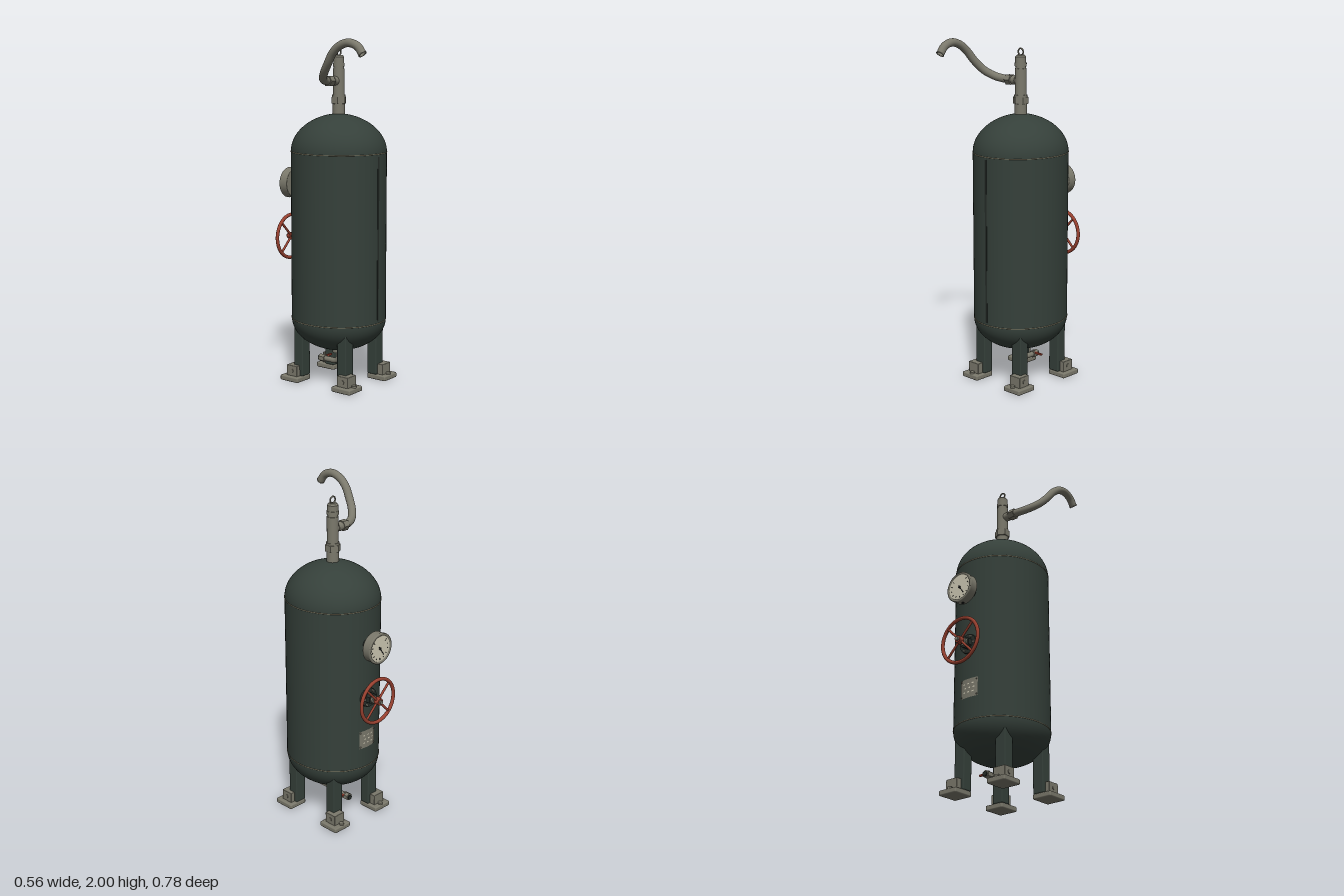
import * as THREE from 'three';
import { RoundedBoxGeometry } from 'three/addons/geometries/RoundedBoxGeometry.js';

const mat = (name, color, side = THREE.FrontSide) => {
  const m = new THREE.MeshStandardMaterial({ color, side });
  m.name = name;
  return m;
};

export function createModel() {
  const green = mat('dark green paint', 0x35403a);
  const dark = mat('dark fitting', 0x272d29);
  const metal = mat('grey metal', 0x7b796c, THREE.DoubleSide);
  const red = mat('red paint', 0x98402f);
  const cream = mat('dial cream', 0xcfcab5);
  const black = mat('black', 0x1a1a1a);
  const weld = mat('weld tan', 0x857c64);

  const CX = 0.0125, CZ = -0.002;          // tank axis
  const RX = 0.267, RZ = 0.283;            // tank is slightly oval
  const root = new THREE.Group();
  root.name = 'pressureTank';
  const model = new THREE.Group();
  model.name = 'tankAssembly';
  model.position.set(CX, 0, CZ);
  root.add(model);

  const add = (name, geo, material, x = 0, y = 0, z = 0, parent = model) => {
    const m = new THREE.Mesh(geo, material);
    m.name = name;
    m.position.set(x, y, z);
    parent.add(m);
    return m;
  };
  const cyl = (r, h, n = 32, r2 = r) => new THREE.CylinderGeometry(r2, r, h, n);
  const hex = (r, h) => {
    const g = cyl(r, h, 6).toNonIndexed();
    g.computeVertexNormals();
    return g;
  };
  const turned = pts => new THREE.LatheGeometry(pts.map(p => new THREE.Vector2(p[0], p[1])), 40);
  // sharp stepped turning: stack of [radius, y0, y1]
  const stack = (name, steps, material, parent) =>
    steps.forEach(([r, a, b], i) => add(name + (i + 1), cyl(r, b - a), material, 0, (a + b) / 2, 0, parent));

  // Tank shell with domed ends
  const Y0 = 0.187, Y1 = 0.377, Y2 = 1.356, Y3 = 1.574;
  const profile = [];
  for (let i = 0; i <= 20; i++) {
    const a = i / 20 * Math.PI / 2;
    profile.push([RZ * Math.sin(a), Y1 - (Y1 - Y0) * Math.cos(a)]);
  }
  for (let i = 0; i <= 20; i++) {
    const a = i / 20 * Math.PI / 2;
    profile.push([RZ * Math.pow(Math.cos(a), 1.08), Y2 + (Y3 - Y2) * Math.sin(a)]);
  }
  profile[0][0] = profile[profile.length - 1][0] = 0;
  const shell = new THREE.LatheGeometry(profile.map(p => new THREE.Vector2(p[0], p[1])), 72);
  add('tankShell', shell.scale(RX / RZ, 1, 1), green);

  // Weld seams
  for (const y of [Y1, Y2]) {
    const ring = new THREE.TorusGeometry(RZ, 0.0025, 6, 72).rotateX(Math.PI / 2).scale(RX / RZ, 1, 1);
    add('weldSeam', ring, weld, 0, y);
  }
  add('frontSeam', new THREE.BoxGeometry(0.013, Y2 - Y1 - 0.03, 0.006), dark, 0, (Y1 + Y2) / 2, RZ - 0.001);

  // Legs with foot blocks, plates and bolts
  for (const sx of [-1, 1]) for (const sz of [-1, 1]) {
    add('leg', new RoundedBoxGeometry(0.072, 0.33, 0.064, 2, 0.006), green, sx * 0.147, 0.195, sz * 0.16);
    add('footBlock', new RoundedBoxGeometry(0.08, 0.065, 0.078, 2, 0.004), metal, sx * 0.17, 0.061, sz * 0.188);
    add('footPlate', new RoundedBoxGeometry(0.124, 0.031, 0.132, 2, 0.008), metal, sx * 0.172, 0.0155, sz * 0.192);
    add('footBolt', cyl(0.014, 0.012, 20), metal, sx * 0.168, 0.035, sz * 0.241);
    add('blockBolt', cyl(0.012, 0.006, 20).rotateZ(Math.PI / 2), metal, sx * 0.211, 0.061, sz * 0.188);
  }

  // Drain pipe with valve and lever under the tank
  const drain = new THREE.Group();
  drain.name = 'drain';
  model.add(drain);
  add('drainCollar', cyl(0.036, 0.03), metal, 0, 0.178, 0, drain);
  const bend = new THREE.CurvePath();
  const v = (x, y, z) => new THREE.Vector3(x, y, z);
  bend.add(new THREE.LineCurve3(v(0, 0.18, 0), v(0, 0.145, 0)));
  bend.add(new THREE.QuadraticBezierCurve3(v(0, 0.145, 0), v(0, 0.105, 0), v(0, 0.105, -0.04)));
  bend.add(new THREE.LineCurve3(v(0, 0.105, -0.04), v(0, 0.105, -0.135)));
  add('drainPipe', new THREE.TubeGeometry(bend, 40, 0.016, 16), metal, 0, 0, 0, drain);
  add('drainNut', hex(0.023, 0.04).rotateX(Math.PI / 2), metal, 0, 0.105, -0.12, drain);
  add('drainOutlet', cyl(0.014, 0.012).rotateX(Math.PI / 2), dark, 0, 0.105, -0.142, drain);
  add('leverPost', cyl(0.007, 0.03, 16), metal, 0.004, 0.115, -0.11, drain);
  add('drainLever', new THREE.BoxGeometry(0.065, 0.009, 0.014), red, 0.036, 0.115, -0.11, drain);

  // Column on the crown
  stack('column', [[0.035, 1.55, 1.63], [0.033, 1.67, 1.83], [0.029, 1.83, 1.842],
    [0.034, 1.842, 1.862], [0.031, 1.862, 1.895]], metal);
  add('columnNut', hex(0.045, 0.038), metal, 0, 1.65);
  add('nutRing', cyl(0.038, 0.012), metal, 0, 1.675);
  add('columnCap', cyl(0.031, 0.01, 32, 0.024), metal, 0, 1.9);
  add('liftingRing', new THREE.TorusGeometry(0.019, 0.0045, 10, 28), metal, 0, 1.923);

  // Curved spout
  const path = new THREE.CatmullRomCurve3([
    v(0, 1.76, 0), v(-0.1, 1.762, 0), v(-0.165, 1.775, 0.025), v(-0.215, 1.81, 0.07),
    v(-0.243, 1.865, 0.12), v(-0.257, 1.922, 0.165), v(-0.261, 1.96, 0.215), v(-0.261, 1.976, 0.275),
    v(-0.26, 1.958, 0.333), v(-0.259, 1.916, 0.368)]);
  const spout = add('spout', new THREE.TubeGeometry(path, 80, 0.023, 20), metal);
  spout.position.set(-CX + 0.004, 0, 0);
  const end = path.getPoint(1), dir = path.getTangent(1);
  const lip = add('spoutLip', new THREE.TorusGeometry(0.022, 0.003, 8, 28), metal,
    end.x - CX + 0.004, end.y, end.z);
  lip.quaternion.setFromUnitVectors(v(0, 0, 1), dir);
  add('spoutNut', hex(0.032, 0.038).rotateZ(Math.PI / 2), metal, -0.086, 1.761);
  add('spoutCollar', cyl(0.026, 0.03).rotateZ(Math.PI / 2), metal, -0.045, 1.761);

  // Groups on the back: local +y points out of the tank, origin on the tank wall
  const backGroup = (name, y) => {
    const g = new THREE.Group();
    g.name = name;
    g.position.set(0, y, -RZ);
    g.rotation.x = -Math.PI / 2;
    model.add(g);
    return g;
  };

  // Pressure gauge
  const gauge = backGroup('pressureGauge', 1.148);
  stack('gaugeFlange', [[0.042, -0.02, 0.016]], dark, gauge);
  stack('gaugeStem', [[0.022, 0.01, 0.045]], metal, gauge);
  add('gaugeNut', hex(0.03, 0.01), metal, 0, 0.024, 0, gauge);
  add('gaugeCock', cyl(0.006, 0.055, 16).rotateZ(Math.PI / 2), metal, 0.03, 0.032, 0, gauge);
  add('gaugeCase', turned([[0, 0.038], [0.086, 0.038], [0.0885, 0.041], [0.0885, 0.08], [0.091, 0.082],
    [0.091, 0.092], [0.087, 0.095], [0.078, 0.095], [0.076, 0.086], [0, 0.086]]), metal, 0, 0, 0, gauge);
  add('gaugeFace', cyl(0.077, 0.004, 40), cream, 0, 0.087, 0, gauge);
  // local -z is up on the dial
  for (let i = 0; i <= 10; i++) {
    const a = -2.3 + i * 0.46;
    const t = add('dialTick', new THREE.BoxGeometry(0.004, 0.002, i % 5 ? 0.008 : 0.013), black,
      Math.sin(a) * 0.062, 0.0895, -Math.cos(a) * 0.062, gauge);
    t.rotation.y = -a;
  }
  const needle = add('needle', new THREE.BoxGeometry(0.005, 0.002, 0.066), black, -0.01, 0.091, -0.015, gauge);
  needle.rotation.y = 0.6;
  add('needleHub', cyl(0.008, 0.005, 20), black, 0, 0.091, 0, gauge);
  add('casePlug', cyl(0.009, 0.006, 20).rotateX(Math.PI / 2), black, 0, 0.06, -0.088, gauge);

  // Handwheel valve
  const valve = backGroup('handwheelValve', 0.823);
  stack('valveFlange', [[0.057, -0.02, 0.014]], dark, valve);
  for (let i = 0; i < 6; i++) {
    const a = i * Math.PI / 3;
    add('flangeBolt', hex(0.008, 0.01), metal, Math.cos(a) * 0.045, 0.017, Math.sin(a) * 0.045, valve);
  }
  add('valveNut', hex(0.035, 0.03), dark, 0, 0.028, 0, valve);
  stack('valveStem', [[0.022, 0.04, 0.055], [0.011, 0.05, 0.108]], metal, valve);
  add('wheelRim', new THREE.TorusGeometry(0.131, 0.0105, 12, 56).rotateX(Math.PI / 2), red, 0, 0.077, 0, valve);
  add('wheelHub', cyl(0.024, 0.028, 28, 0.02), red, 0, 0.085, 0, valve);
  for (let i = 0; i < 2; i++) {
    const s = add('wheelSpokes', cyl(0.007, 0.26, 14).rotateX(Math.PI / 2), red, 0, 0.078, 0, valve);
    s.rotation.y = Math.PI / 4 + i * Math.PI / 2;
  }
  add('wheelNut', hex(0.012, 0.012), metal, 0, 0.104, 0, valve);

  // Curved data plate with rivets and stamped marks
  const arc = (r, h, mid, span) =>
    new THREE.CylinderGeometry(r, r, h, 10, 1, true, Math.PI + mid - span / 2, span).scale(RX / RZ, 1, 1);
  add('dataPlate', arc(RZ + 0.004, 0.11, 0, 0.46), metal, 0, 0.56);
  for (let row = 0; row < 3; row++) for (let i = 0; i < 3; i++)
    add('plateMark', arc(RZ + 0.006, 0.007, (i - 1) * 0.11 + (row % 2) * 0.03, 0.045), cream, 0, 0.585 - row * 0.024);
  for (const a of [-0.2, 0.2]) for (const y of [0.515, 0.605])
    add('plateRivet', new THREE.SphereGeometry(0.005, 10, 8), metal,
      -Math.sin(a) * (RX + 0.004), y, -Math.cos(a) * (RZ + 0.004));

  return root;
}
